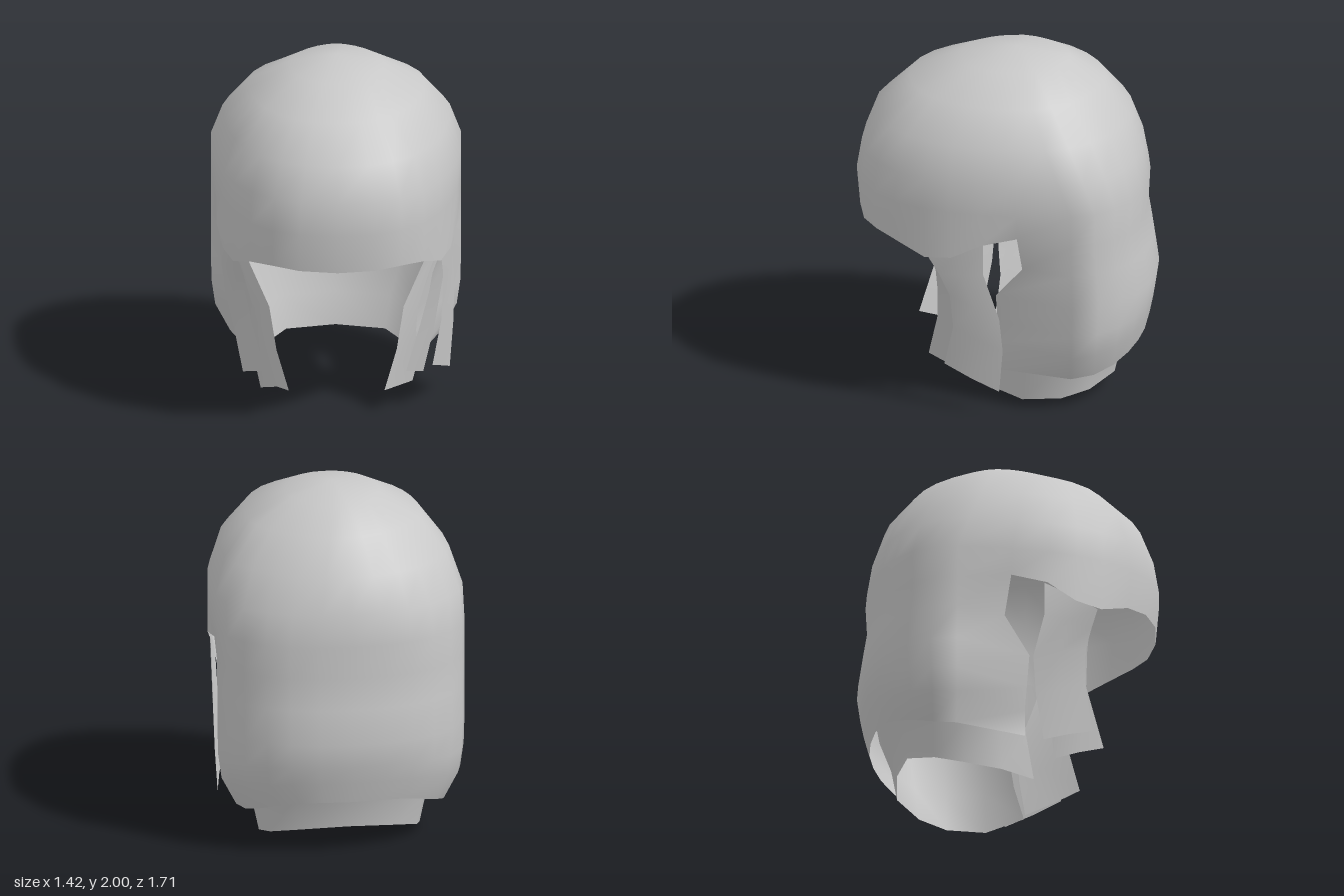
import * as THREE from 'three';
import { mergeVertices } from 'three/addons/utils/BufferGeometryUtils.js';

// Skin a grid of points (rows from top to bottom); keep() can leave quads out
function loft(rows, keep = () => true) {
  const n = rows[0].length, index = [];
  for (let i = 0; i < rows.length - 1; i++) {
    for (let j = 0; j < n - 1; j++) {
      if (!keep(i, j)) continue;
      const a = i * n + j, b = a + 1, c = a + n, d = c + 1;
      index.push(a, c, b, b, c, d);
    }
  }
  let g = new THREE.BufferGeometry();
  g.setAttribute('position', new THREE.Float32BufferAttribute(rows.flat(2), 3));
  g.setIndex(index);
  g = mergeVertices(g, 1e-4);
  g.computeVertexNormals();
  return g;
}

const mirror = ([x, y, z]) => [-x, y, z];

// Shell sections: height, half width, front z, back z, z of the widest point
const SECTIONS = [
  [2.0, 0, -0.05, -0.05, -0.05],
  [1.945, 0.27, 0.27, -0.35, -0.07],
  [1.82, 0.5, 0.56, -0.55, -0.11],
  [1.63, 0.645, 0.755, -0.7, -0.17],
  [1.43, 0.71, 0.83, -0.77, -0.24],
  [1.25, 0.71, 0.86, -0.8, -0.3],
  [1.06, 0.71, 0.84, -0.79, -0.3],
  [0.88, 0.71, 0.84, -0.82, -0.3],
  [0.68, 0.71, 0.84, -0.85, -0.3],
  [0.5, 0.705, 0.84, -0.83, -0.3],
  [0.36, 0.685, 0.84, -0.81, -0.3],
  [0.2, 0.6, 0.84, -0.78, -0.3],
];
// Column angles from the middle of the fringe round to the back
const ANGLES = [0, 13, 26, 39, 52, 62, 71.5, 81.4, 95, 110, 125, 140, 153, 167, 180];
const EAR = 7;       // first column behind the ear opening
const HAIRLINE = 6;  // row of the fringe edge
const FRINGE_Y = [1.02, 1.025, 1.03, 1.01, 0.95, 0.97, 1.06, 1.1];
// Edge behind the ear, curling in toward the neck: x and z on each row
const EAR_EDGE = [[0.675, -0.05], [0.6, -0.08], [0.51, 0.07], [0.46, 0.06], [0.45, 0.05], [0.46, 0.05]];

function shellPoint(row, col) {
  const [y0, w, front, back, mid] = SECTIONS[row];
  const phi = THREE.MathUtils.degToRad(ANGLES[col]);
  const c = Math.cos(phi), s = Math.max(0, Math.sin(phi));
  // rounder sections near the crown, squarer ones below
  const square = Math.pow(Math.min(row / 5, 1), 1.5);
  const power = 2 / (c > 0 ? 2.15 + 0.35 * square : 1.65 + 0.6 * square);
  const depth = c > 0 ? front - mid : mid - back;
  let x = w * Math.pow(s < 1e-6 ? 0 : s, power);
  let z = mid + Math.sign(c) * depth * Math.pow(Math.abs(c), power);
  let y = y0;
  if (row === HAIRLINE && col <= EAR) y = FRINGE_Y[col];
  if (row >= HAIRLINE && col === EAR) [x, z] = EAR_EDGE[row - HAIRLINE];
  // the lower edge rises toward the back
  const rise = 0.12 * THREE.MathUtils.smoothstep(ANGLES[col], 95, 165);
  if (row > 8) y += rise * (row - 8) / 3;
  return [x, y, z];
}

function shellGeometry() {
  const last = ANGLES.length - 1;
  const rows = SECTIONS.map((_, r) => {
    const half = ANGLES.map((_, c) => shellPoint(r, c));
    return [...half.slice(1).reverse().map(mirror), ...half];
  });
  // below the hairline only the hair behind the ears remains
  return loft(rows, (i, j) => i < HAIRLINE || j >= last + EAR || j < last - EAR);
}

// Inner layer at the nape, from the ear edge to the middle of the back
function napeGeometry() {
  const halves = [
    [[0.52, 0.79, -0.07], [0.61, 0.84, -0.17], [0.66, 0.86, -0.32], [0.61, 0.87, -0.54], [0.4, 0.87, -0.745], [0, 0.87, -0.815]],
    [[0.38, 0.5, 0.04], [0.51, 0.5, -0.08], [0.59, 0.5, -0.3], [0.54, 0.5, -0.5], [0.37, 0.5, -0.69], [0, 0.5, -0.76]],
    [[0.34, 0.25, 0.07], [0.46, 0.25, -0.08], [0.51, 0.25, -0.3], [0.46, 0.27, -0.48], [0.31, 0.3, -0.63], [0, 0.31, -0.67]],
    [[0.27, 0.02, 0.12], [0.43, 0, -0.08], [0.46, 0.02, -0.3], [0.42, 0.06, -0.46], [0.28, 0.11, -0.6], [0, 0.125, -0.63]],
  ];
  return loft(halves.map(h => [...h, ...h.slice(0, -1).reverse().map(mirror)]));
}

// Sidelock: a strip between a front edge and a back edge, bulging slightly outward
function lockGeometry(front, back, side) {
  const rows = front.map((f, i) => {
    const b = back[i];
    const m = f.map((v, k) => (v + b[k]) / 2 + (k === 0 ? 0.015 : 0));
    const row = [f, m, b];
    return side > 0 ? row : row.map(mirror).reverse();
  });
  return loft(rows);
}

export function createModel() {
  const group = new THREE.Group();
  group.name = 'hair';
  const hair = new THREE.MeshStandardMaterial({ color: 0xc8c8c8, side: THREE.DoubleSide });
  hair.name = 'light grey hair';
  const add = (name, geometry) => {
    const mesh = new THREE.Mesh(geometry, hair);
    mesh.name = name;
    group.add(mesh);
  };

  add('hairShell', shellGeometry());
  add('napeLayer', napeGeometry());

  // The sidelocks differ from side to side
  add('leftOuterLock', lockGeometry(
    [[0.59, 0.95, 0.45], [0.6, 0.85, 0.39], [0.6, 0.72, 0.33], [0.59, 0.52, 0.31], [0.54, 0.27, 0.36]],
    [[0.67, 1.06, 0.14], [0.66, 0.87, 0.14], [0.665, 0.6, 0.05], [0.66, 0.4, 0.03], [0.64, 0.14, 0.05]], 1));
  add('leftInnerLock', lockGeometry(
    [[0.57, 0.95, 0.44], [0.54, 0.85, 0.41], [0.52, 0.73, 0.4], [0.47, 0.53, 0.4], [0.39, 0.27, 0.45]],
    [[0.64, 1.0, 0.25], [0.62, 0.85, 0.2], [0.59, 0.65, 0.13], [0.55, 0.4, 0.12], [0.49, 0.15, 0.15]], 1));
  add('rightOuterLock', lockGeometry(
    [[0.585, 0.95, 0.45], [0.55, 0.85, 0.42], [0.52, 0.73, 0.39], [0.48, 0.53, 0.39], [0.41, 0.27, 0.44]],
    [[0.67, 1.06, 0.14], [0.66, 0.87, 0.14], [0.63, 0.62, 0.08], [0.58, 0.4, 0.1], [0.53, 0.15, 0.15]], -1));
  add('rightInnerLock', lockGeometry(
    [[0.56, 0.95, 0.44], [0.53, 0.85, 0.41], [0.5, 0.73, 0.4], [0.44, 0.53, 0.4], [0.34, 0.2, 0.51]],
    [[0.62, 1.0, 0.25], [0.61, 0.85, 0.2], [0.57, 0.65, 0.17], [0.5, 0.4, 0.18], [0.43, 0.08, 0.22]], -1));
  return group;
}
